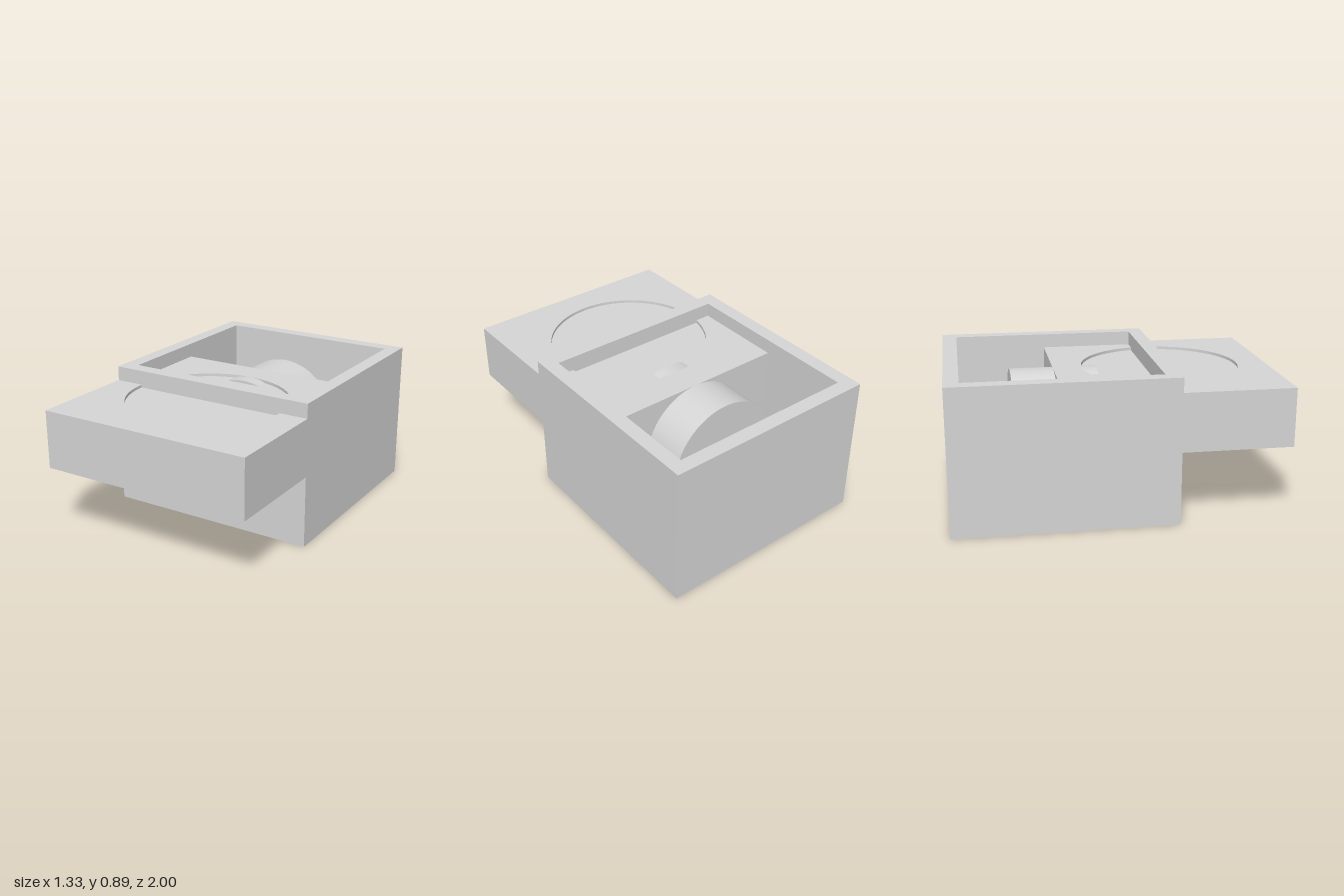
import * as THREE from 'three';

const U = 1 / 90; // design grid unit
const RECESS = 70.4; // height of the round recess floor

export function createModel() {
  const model = new THREE.Group();
  model.name = 'boxWithTray';
  const body = new THREE.Group();
  body.name = 'body';
  body.scale.setScalar(U);
  model.add(body);
  const grey = new THREE.MeshStandardMaterial({ color: 0xd6d6d6 });
  grey.name = 'plain grey';

  const add = (name, geometry) => {
    const mesh = new THREE.Mesh(geometry, grey);
    mesh.name = name;
    body.add(mesh);
    return mesh;
  };
  // Plan outlines are drawn as (x, -z) and raised from y0 to y1
  const outline = (...pts) => new THREE.Shape(pts.map(([x, z]) => new THREE.Vector2(x, -z)));
  const slab = (name, shape, y0, y1) => {
    const g = new THREE.ExtrudeGeometry(shape, { depth: y1 - y0, bevelEnabled: false, curveSegments: 72 });
    g.rotateX(-Math.PI / 2).translate(0, y0, 0);
    return add(name, g);
  };
  const block = (name, x0, x1, y0, y1, z0, z1) => {
    const g = new THREE.BoxGeometry(x1 - x0, y1 - y0, z1 - z0);
    g.translate((x0 + x1) / 2, (y0 + y1) / 2, (z0 + z1) / 2);
    return add(name, g);
  };

  // Open-topped box: outer outline counter-clockwise, opening clockwise
  const walls = outline([-60, 30], [60, 30], [60, -90], [-60, -90]);
  walls.holes.push(outline([-52, -82], [52, -82], [52, 22], [-52, 22]));
  slab('boxWalls', walls, 0, 80);
  block('boxFloor', -52, 52, 0, 8, -82, 22);

  // Front tray, hollow from below
  slab('trayRim', outline([-60, 30], [-52, 30], [-52, 82], [52, 82], [52, 30],
    [60, 30], [60, 90], [-60, 90]), 40, 64);
  block('trayPlate', -60, 60, 64, RECESS, 30, 90);

  // Top layer of the tray with the front half of the round recess
  const trayTop = outline([-60, 90], [60, 90], [60, 30], [44, 30]);
  trayTop.absarc(0, -30, 44, 0, -Math.PI, true);
  trayTop.lineTo(-60, -30);
  slab('trayTop', trayTop, RECESS, 72);

  // Shelf inside the box with the back half of the recess
  block('shelfPlate', -52, 52, 64, RECESS, -30, 22);
  block('shelfBack', -52, 52, 40, 64, -30, -22);
  const a = Math.asin(8 / 44);
  const shelfTop = outline([-52, -30], [-52, 22]);
  shelfTop.absarc(0, -30, 44, Math.PI - a, a, true);
  shelfTop.lineTo(52, -22);
  shelfTop.lineTo(52, 30);
  slab('shelfTop', shelfTop, RECESS, 72);

  // Lying drum that rests on the floor and breaks through the recess
  const drum = new THREE.CylinderGeometry(32, 32, 48, 96);
  drum.rotateX(Math.PI / 2).translate(0, 40, -30);
  add('drum', drum);

  return model;
}
